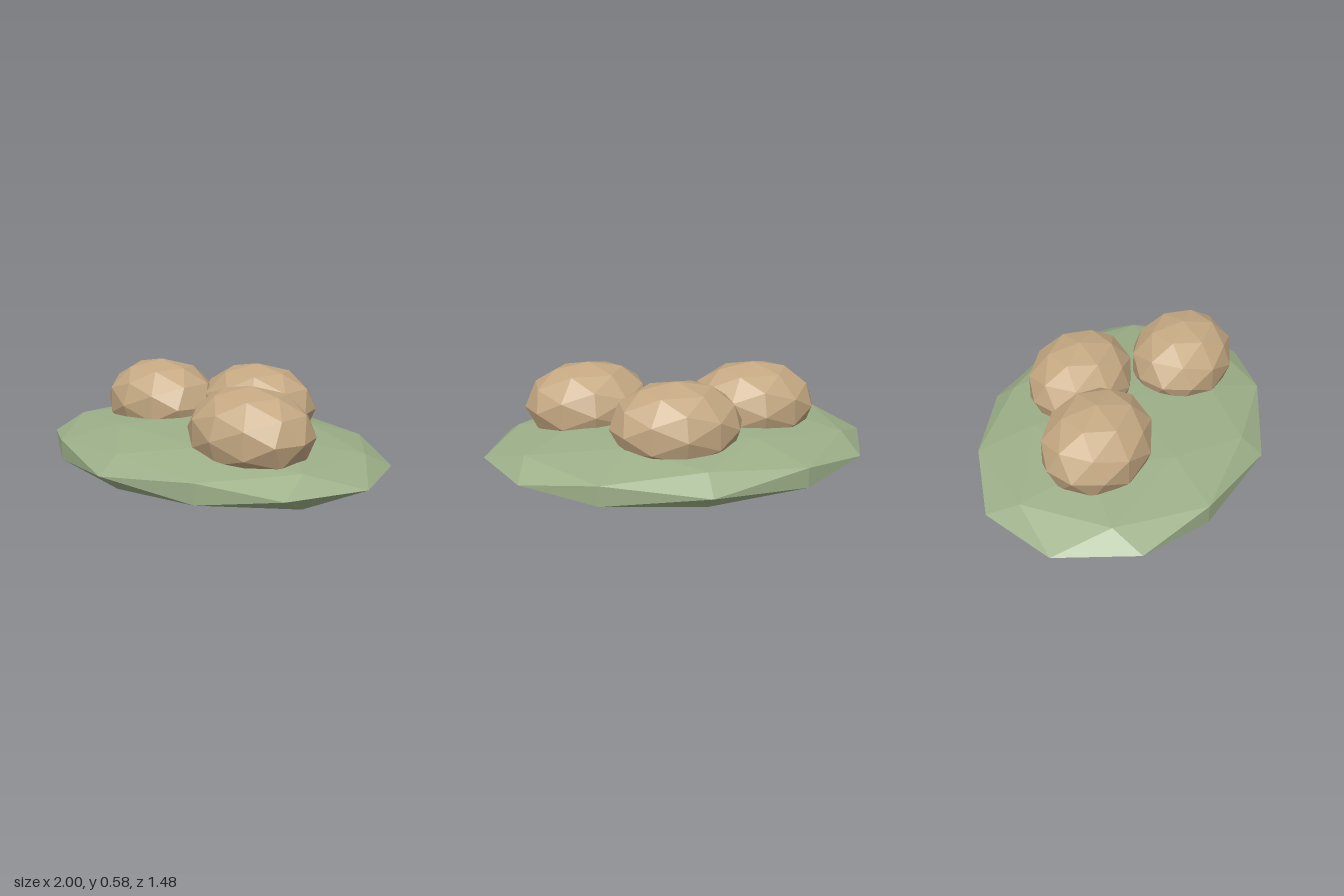
import * as THREE from 'three';

export function createModel() {
  const group = new THREE.Group();
  const sageGreen = new THREE.MeshStandardMaterial({ color: 0x9caf88 });
  const warmTan = new THREE.MeshStandardMaterial({ color: 0xc4a882 });

  // Faceted ellipsoid: a once-subdivided icosahedron has separate faces, so its normals are flat
  function facetedBlob(name, material, radii, centre) {
    const geometry = new THREE.IcosahedronGeometry(1, 1);
    geometry.scale(...radii);
    geometry.computeVertexNormals();
    const mesh = new THREE.Mesh(geometry, material);
    mesh.name = name;
    mesh.position.set(...centre);
    group.add(mesh);
  }

  // Flat leaf-like base
  facetedBlob('leafBase', sageGreen, [1, 0.165, 0.739], [0, 0.165, 0]);

  // Three rounded lumps sunk into the base
  const lumps = [[-0.39, 0], [0.07, -0.266], [0.44, 0.176]];
  lumps.forEach(([x, z], i) => {
    facetedBlob(`lump${i + 1}`, warmTan, [0.333, 0.22, 0.272], [x, 0.361, z]);
  });

  return group;
}
